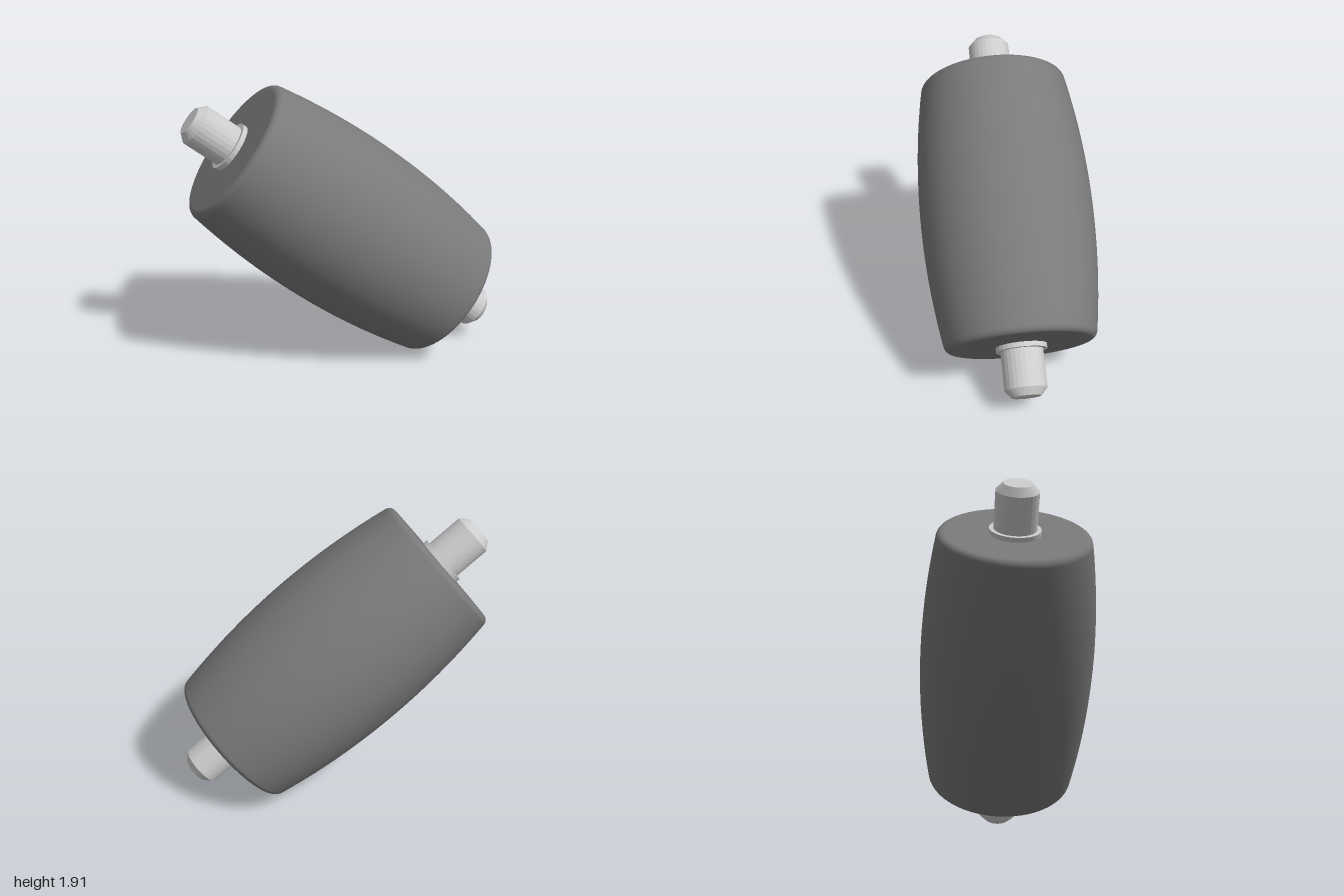
import * as THREE from 'three';

export function createModel() {
  const rubber = new THREE.MeshStandardMaterial({ color: 0x7a7a7a });
  rubber.name = 'dark grey rubber';
  const steel = new THREE.MeshStandardMaterial({ color: 0xcccccc, flatShading: true });
  steel.name = 'light steel';

  const model = new THREE.Group();
  model.name = 'barrelRoller';

  // Roller: rounded rims and a barrel-shaped side
  const rimR = 0.458, rimY = 0.886, fillet = 0.05, faceY = rimY + fillet;
  const midR = 0.587, tilt = 0.178;
  const endR = rimR + fillet * Math.cos(tilt), endY = rimY + fillet * Math.sin(tilt);
  const half = [];
  const barrelSteps = 12, filletSteps = 8;
  for (let i = 0; i <= barrelSteps; i++) {
    const t = i / barrelSteps;
    half.push([midR - (midR - endR) * t * t, endY * t]);
  }
  for (let i = 1; i <= filletSteps; i++) {
    const a = tilt + (Math.PI / 2 - tilt) * i / filletSteps;
    half.push([rimR + fillet * Math.cos(a), rimY + fillet * Math.sin(a)]);
  }
  const lower = half.slice(1).reverse().map(([r, y]) => [r, -y]);
  const sideProfile = [...lower, ...half].map(([r, y]) => new THREE.Vector2(r, y));
  const side = new THREE.Mesh(new THREE.LatheGeometry(sideProfile, 72), rubber);
  side.name = 'rollerBody';
  model.add(side);

  // Each end: flat face, collar and chamfered axle pin
  const pinProfile = [
    [0.17, faceY - 0.01], [0.17, 0.968], [0.142, 0.968],
    [0.142, 1.22], [0.096, 1.27], [0, 1.27],
  ].map(([r, y]) => new THREE.Vector2(r, y));
  for (const name of ['upper', 'lower']) {
    const end = new THREE.Group();
    end.name = name + 'End';
    const face = new THREE.Mesh(new THREE.CircleGeometry(rimR, 72), rubber);
    face.name = name + 'EndFace';
    face.rotation.x = -Math.PI / 2;
    face.position.y = faceY;
    const pin = new THREE.Mesh(new THREE.LatheGeometry(pinProfile, 28), steel);
    pin.name = name + 'AxlePin';
    end.add(face, pin);
    if (name === 'lower') end.rotation.x = Math.PI;
    model.add(end);
  }

  // Lean the roller along its diagonal axis
  const axis = new THREE.Vector3(-0.707, 0.611, -0.356).normalize();
  model.quaternion.setFromUnitVectors(new THREE.Vector3(0, 1, 0), axis);
  model.position.y = 0.955;

  const root = new THREE.Group();
  root.name = 'roller';
  root.add(model);
  return root;
}
